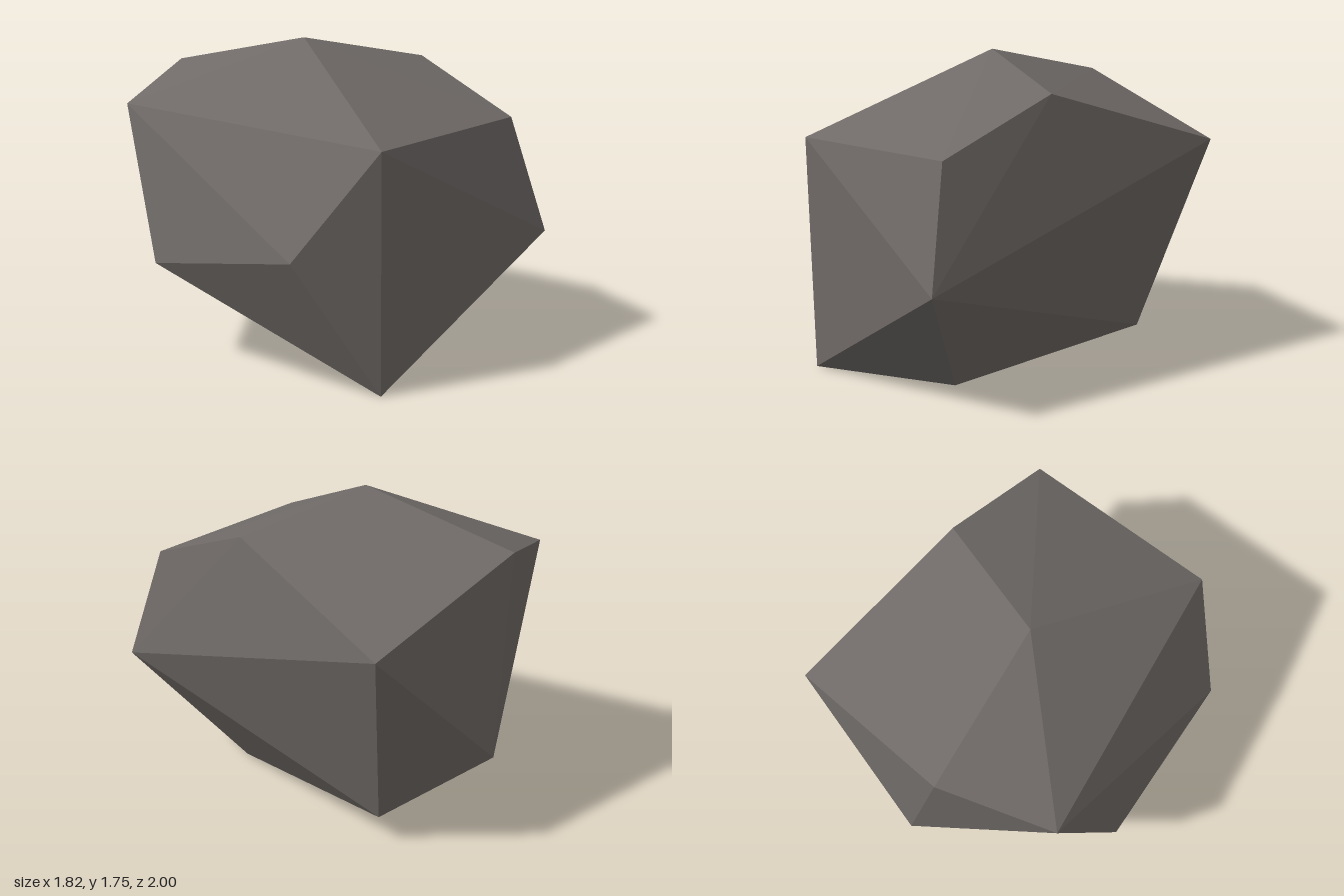
import * as THREE from 'three';
import { ConvexGeometry } from 'three/addons/geometries/ConvexGeometry.js';

export function createModel() {
  const group = new THREE.Group();
  group.name = 'rock';

  const stone = new THREE.MeshStandardMaterial({ color: 0x6f6a67 });
  stone.name = 'stone grey';

  // Corners of the faceted boulder; the faces are their convex hull
  const corners = [
    // crown
    [-0.02, 1.75, -0.015], [0.737, 1.6, 0.14], [0.77, 1.33, 0.83], [-0.34, 1.305, 1.0],
    [-0.818, 1.385, -0.6], [-0.24, 1.553, -0.91], [0.783, 1.262, -0.94],
    // waist
    [0.908, 0.69, 0.985], [-0.73, 0.74, 0.755], [-0.913, 0.565, -0.2], [-0.04, 0.45, -1.0],
    // base
    [-0.31, 0, 0.983], [0.432, 0.015, 0.54], [0.5, 0.155, -0.675],
  ].map((p) => new THREE.Vector3(...p));

  const boulder = new THREE.Mesh(new ConvexGeometry(corners), stone);
  boulder.name = 'boulder';
  group.add(boulder);
  return group;
}
